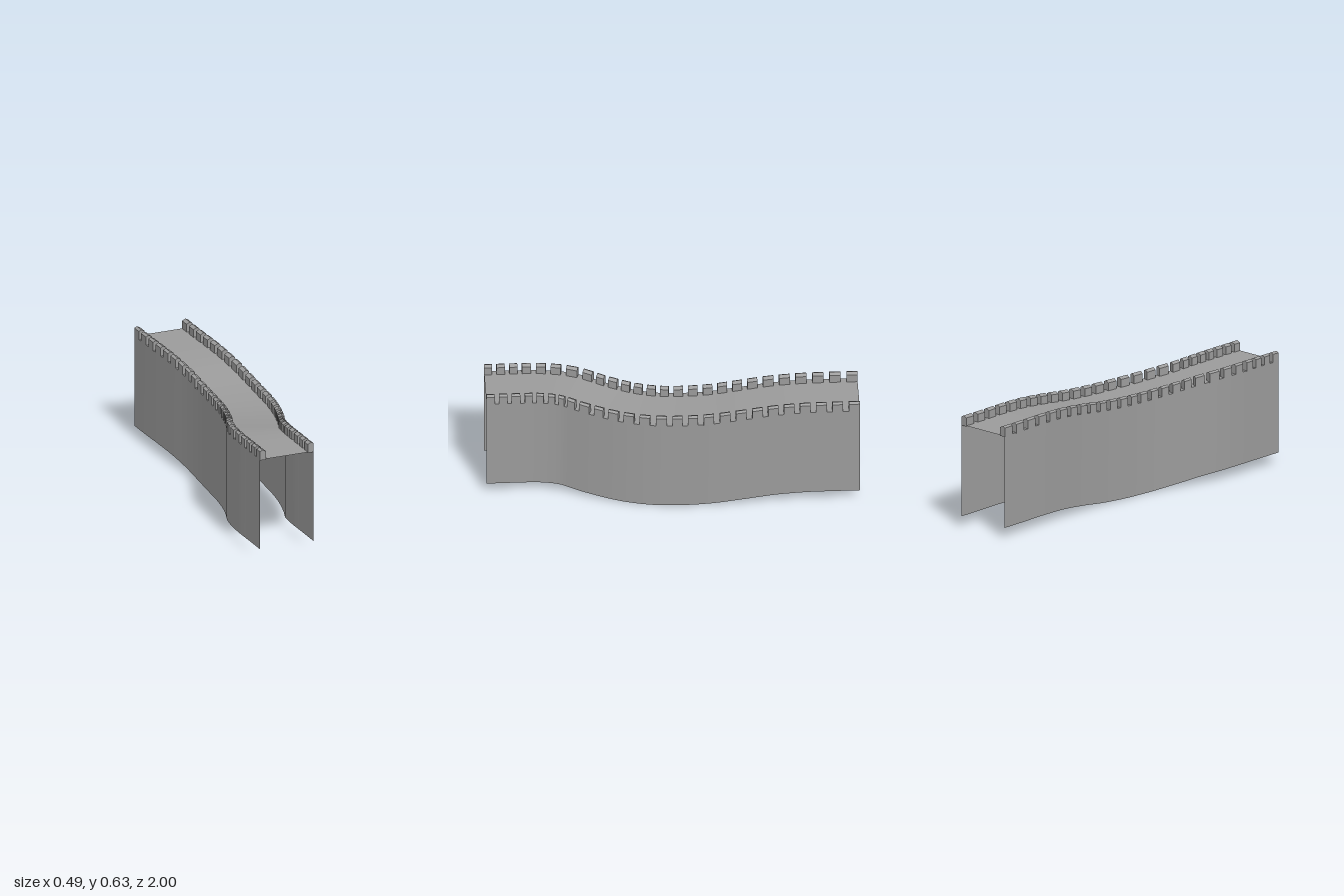
import * as THREE from 'three';

const HALF = 0.157;      // half width of the walkway
const HEIGHT = 0.515;    // wall height below the walkway
const SEGMENTS = 96;
const MERLONS = 26;      // per side
const GREY = 0x9b9b9b;

// Ground line of the wall: winding in x, dipping in y
const path = new THREE.CatmullRomCurve3([
  [-0.088, 0.062, 1], [-0.088, 0.063, 0.85], [-0.086, 0.062, 0.7], [-0.066, 0.053, 0.56],
  [-0.008, 0.028, 0.4], [0.042, 0.009, 0.24], [0.07, 0.002, 0.1], [0.083, 0.004, -0.04],
  [0.09, 0.015, -0.2], [0.089, 0.035, -0.36], [0.081, 0.053, -0.53], [0.074, 0.06, -0.7],
  [0.071, 0.06, -0.85], [0.071, 0.06, -1],
].map(p => new THREE.Vector3(...p)));
path.arcLengthDivisions = 600;

// Point on the path with a sideways offset (+ is the model's left) and a rise
function at(t, side, rise) {
  const p = path.getPointAt(t), d = path.getTangentAt(t).setY(0).normalize();
  if (t === 0 || t === 1) d.set(0, 0, -1);
  return new THREE.Vector3(p.x - d.z * side, p.y + rise, p.z + d.x * side);
}

// Ribbon between two edges that both follow the path
function ribbon(name, a, b, material) {
  const pos = [], index = [];
  for (let i = 0; i <= SEGMENTS; i++) {
    const t = i / SEGMENTS;
    pos.push(...at(t, ...a).toArray(), ...at(t, ...b).toArray());
    if (i < SEGMENTS) {
      const k = i * 2;
      index.push(k, k + 1, k + 2, k + 1, k + 3, k + 2);
    }
  }
  const g = new THREE.BufferGeometry();
  g.setAttribute('position', new THREE.Float32BufferAttribute(pos, 3));
  g.setIndex(index);
  g.computeVertexNormals();
  const mesh = new THREE.Mesh(g, material);
  mesh.name = name;
  return mesh;
}

// Merlon block with a ridged cap, bent to follow the path
function merlon(side, t0, t1, material) {
  const outer = HALF + 0.001, inner = HALF - 0.034;
  const section = [[inner, -0.004], [outer, -0.004], [outer, 0.046], [HALF - 0.014, 0.054], [inner, 0.044]];
  const [f, r] = [t0, t1].map(t => section.map(([s, y]) => at(t, s * side, HEIGHT + y)));
  const pos = [];
  const tri = (a, b, c) => {
    for (const v of side > 0 ? [a, b, c] : [a, c, b]) pos.push(v.x, v.y, v.z);
  };
  const n = section.length;
  for (let i = 0; i < n; i++) {
    const j = (i + 1) % n;
    // long faces
    tri(f[i], r[i], r[j]);
    tri(f[i], r[j], f[j]);
    // end caps
    if (i > 0 && i < n - 1) {
      tri(f[0], f[i], f[j]);
      tri(r[0], r[j], r[i]);
    }
  }
  const g = new THREE.BufferGeometry();
  g.setAttribute('position', new THREE.Float32BufferAttribute(pos, 3));
  g.computeVertexNormals();
  const mesh = new THREE.Mesh(g, material);
  mesh.name = 'merlon';
  return mesh;
}

export function createModel() {
  const group = new THREE.Group();
  group.name = 'fortressWall';
  const thin = new THREE.MeshStandardMaterial({ color: GREY, side: THREE.DoubleSide });
  const stone = new THREE.MeshStandardMaterial({ color: GREY, flatShading: true });

  // Walkway and the two side faces, open at the ends and below
  group.add(ribbon('walkway', [-HALF, HEIGHT], [HALF, HEIGHT], thin));
  group.add(ribbon('leftWall', [HALF, HEIGHT], [HALF, 0], thin));
  group.add(ribbon('rightWall', [-HALF, 0], [-HALF, HEIGHT], thin));

  // Battlements along both edges, spaced wider towards the back
  const spacing = i => {
    const u = Math.min(1, i / (MERLONS - 0.35));
    return u * (0.84 + 0.16 * u);
  };
  for (const side of [1, -1]) {
    const row = new THREE.Group();
    row.name = side > 0 ? 'leftBattlement' : 'rightBattlement';
    for (let i = 0; i < MERLONS; i++) {
      row.add(merlon(side, spacing(i), spacing(i + 0.65), stone));
    }
    group.add(row);
  }
  return group;
}
